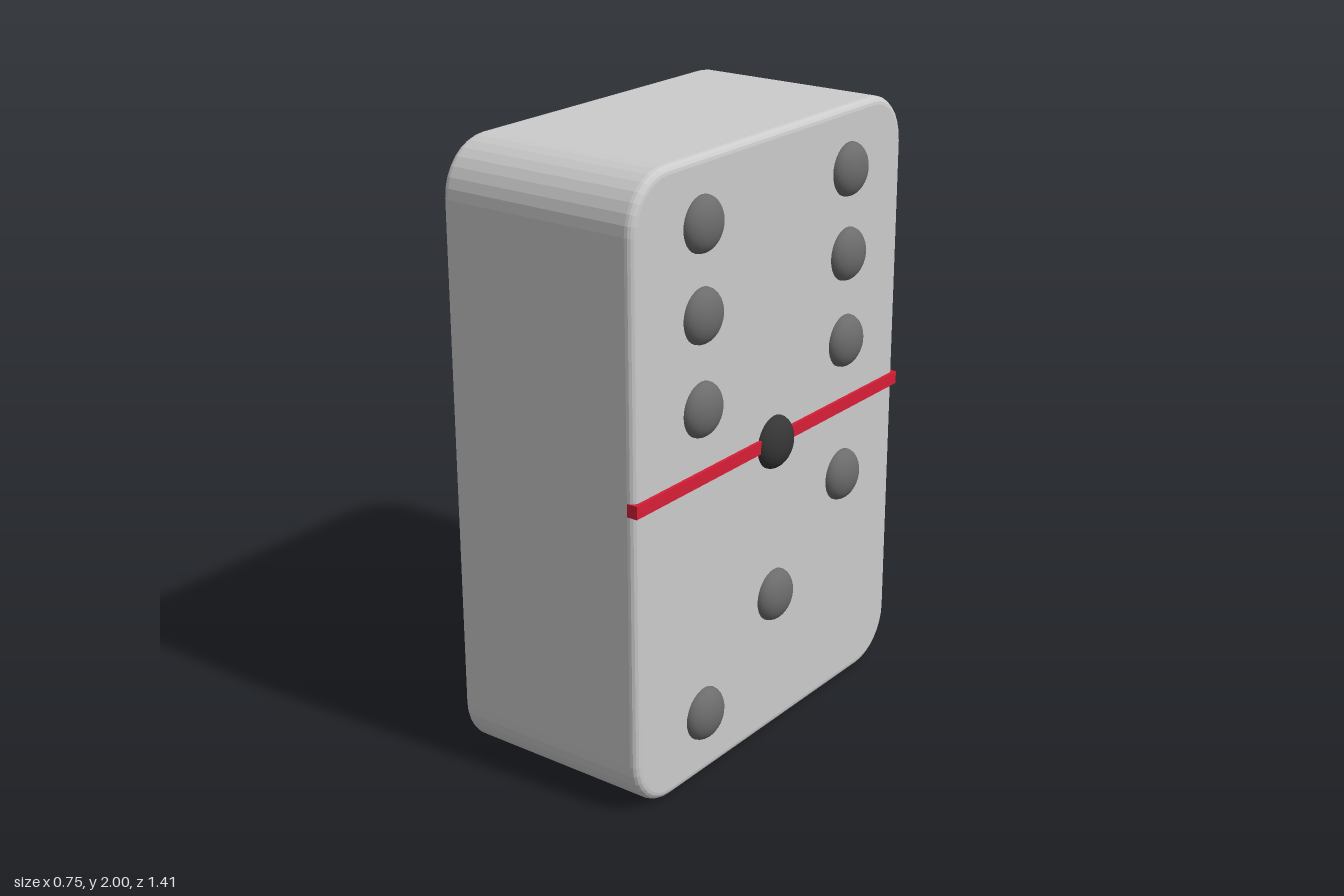
import * as THREE from 'three';

const FACE = 0.325; // x of the marked face
const BACK = -0.375;
const BEVEL = 0.025;

// Rounded rectangle centred on the origin
function roundedRect(w, h, r) {
  const s = new THREE.Shape();
  const x = w / 2 - r, y = h / 2 - r, q = Math.PI / 2;
  s.absarc(x, y, r, 0, q);
  s.absarc(-x, y, r, q, 2 * q);
  s.absarc(-x, -y, r, 2 * q, 3 * q);
  s.absarc(x, -y, r, 3 * q, 4 * q);
  s.closePath();
  return s;
}

export function createModel() {
  const model = new THREE.Group();
  model.name = 'domino';

  const add = (name, geometry, color, x, y, z, flatShading = false) => {
    const material = new THREE.MeshStandardMaterial({ color, flatShading });
    const mesh = new THREE.Mesh(geometry, material);
    mesh.name = name;
    mesh.position.set(x, y, z);
    model.add(mesh);
    return mesh;
  };

  // Tile body: faceted corners, softly bevelled rims
  const body = new THREE.ExtrudeGeometry(roundedRect(1.41, 2, 0.17), {
    depth: FACE - BACK - 2 * BEVEL,
    curveSegments: 4,
    bevelThickness: BEVEL,
    bevelSize: BEVEL,
    bevelOffset: -BEVEL,
    bevelSegments: 4,
  });
  body.rotateY(Math.PI / 2);
  add('body', body, 0xcccccc, BACK + BEVEL, 1, 0, true);

  // Dividing bar across the face
  add('divider', new THREE.BoxGeometry(0.036, 0.042, 1.41), 0xd81e36, 0.318, 1.018, 0);

  // Pips: shallow domes, [z, y]
  const dome = new THREE.SphereGeometry(0.087, 32, 10, 0, Math.PI * 2, 0, Math.PI / 2);
  dome.rotateZ(-Math.PI / 2);
  dome.scale(0.05 / 0.087, 1, 1);
  const pips = [[-0.39, 0.77], [-0.01, 0.48], [0.365, 0.215]];
  for (const y of [1.8, 1.525, 1.235]) pips.push([0.38, y], [-0.39, y]);
  pips.forEach(([z, y], i) => add(`pip${i + 1}`, dome, 0x6c6c6c, FACE, y, z));

  // Darker stud in the middle of the divider
  add('centreStud', dome, 0x363636, FACE, 1.01, 0);

  return model;
}
